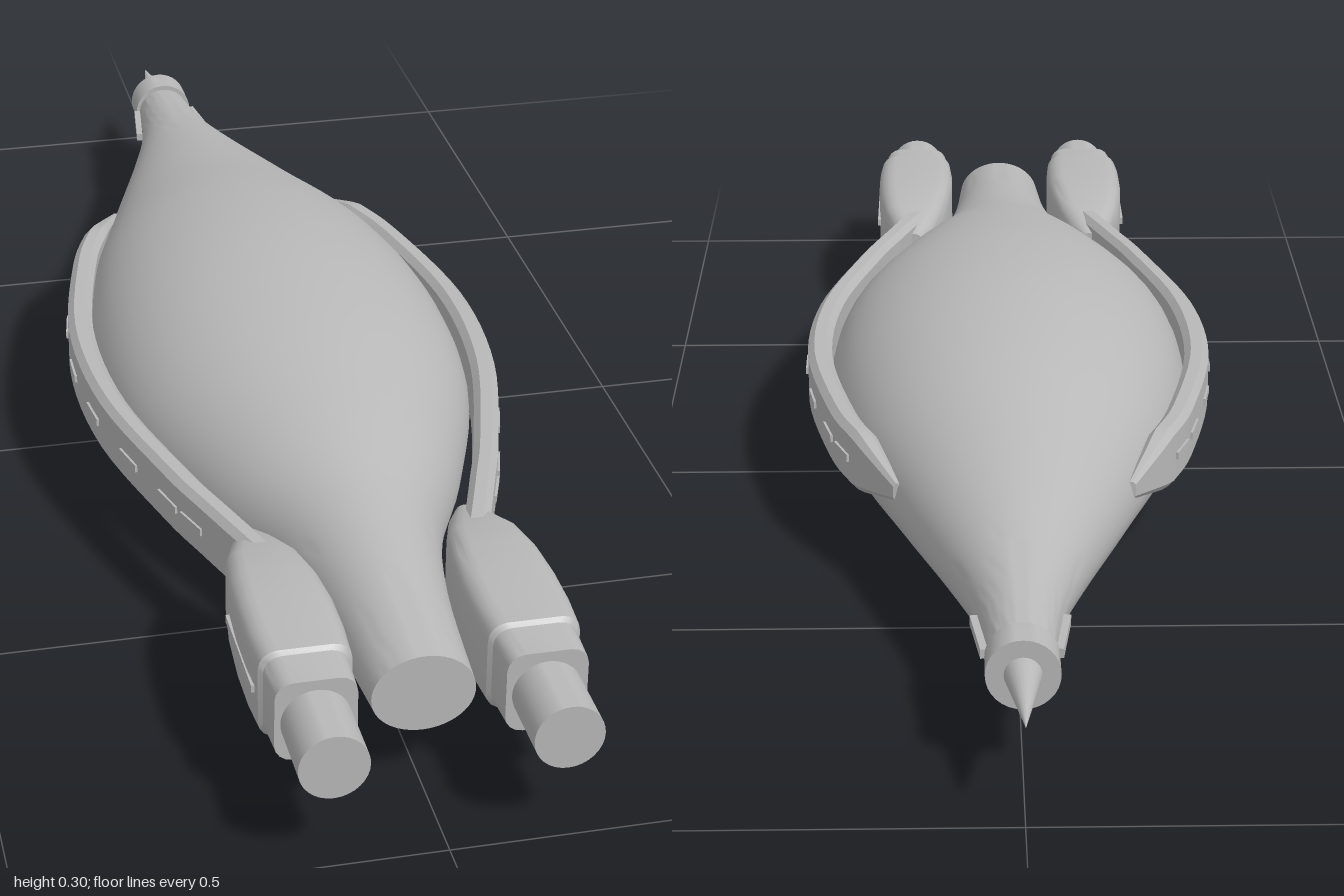
import * as THREE from 'three';
import { toCreasedNormals } from 'three/addons/utils/BufferGeometryUtils.js';

// Skin a closed, capped body through rings ordered from low z to high z
function loft(rings, crease) {
  const n = rings[0].length, pos = [], idx = [];
  rings.forEach(r => r.forEach(p => pos.push(p.x, p.y, p.z)));
  for (let i = 0; i < rings.length - 1; i++) {
    for (let j = 0; j < n; j++) {
      const a = i * n + j, b = i * n + (j + 1) % n;
      idx.push(a, b, a + n, b, b + n, a + n);
    }
  }
  [0, rings.length - 1].forEach((i, end) => {
    const c = new THREE.Vector3();
    rings[i].forEach(p => c.addScaledVector(p, 1 / n));
    const k = pos.push(c.x, c.y, c.z) / 3 - 1;
    for (let j = 0; j < n; j++) {
      const a = i * n + j, b = i * n + (j + 1) % n;
      if (end) idx.push(k, a, b); else idx.push(k, b, a);
    }
  });
  const g = new THREE.BufferGeometry();
  g.setAttribute('position', new THREE.Float32BufferAttribute(pos, 3));
  g.setIndex(idx);
  return toCreasedNormals(g, crease);
}

// Rectangle with cut corners
function chamferRing(cx, cy, z, hx, hy, c) {
  return [[hx, -hy + c], [hx, hy - c], [hx - c, hy], [-hx + c, hy],
    [-hx, hy - c], [-hx, -hy + c], [-hx + c, -hy], [hx - c, -hy]]
    .map(([x, y]) => new THREE.Vector3(cx + x, cy + y, z));
}

// Rectangle with rounded corners
function roundRing(cx, cy, z, hx, hy, r) {
  const pts = [];
  for (let q = 0; q < 4; q++) {
    const sx = q === 0 || q === 3 ? 1 : -1, sy = q < 2 ? 1 : -1;
    for (let k = 0; k <= 4; k++) {
      const a = (q + k / 4) * Math.PI / 2;
      pts.push(new THREE.Vector3(cx + sx * (hx - r) + r * Math.cos(a), cy + sy * (hy - r) + r * Math.sin(a), z));
    }
  }
  return pts;
}

export function createModel() {
  const model = new THREE.Group();
  model.name = 'spaceship';
  const hullGrey = new THREE.MeshStandardMaterial({ color: 0xb8b8b8 });
  hullGrey.name = 'hullGrey';
  const add = (name, geo, x = 0, y = 0, z = 0) => {
    const m = new THREE.Mesh(geo, hullGrey);
    m.name = name;
    m.position.set(x, y, z);
    model.add(m);
    return m;
  };

  // Main hull: z, half width, top, bottom, height of widest line
  const stations = [
    [-0.85, 0.036, 0.16, 0.09, 0.126], [-0.72, 0.053, 0.176, 0.072, 0.125],
    [-0.6, 0.087, 0.197, 0.055, 0.123], [-0.4, 0.155, 0.238, 0.03, 0.121],
    [-0.2, 0.22, 0.281, 0.01, 0.12], [0, 0.249, 0.3, 0.001, 0.12],
    [0.2, 0.238, 0.289, 0.005, 0.12], [0.4, 0.173, 0.256, 0.021, 0.122],
    [0.55, 0.108, 0.224, 0.042, 0.125], [0.7, 0.077, 0.202, 0.062, 0.127],
    [0.87, 0.063, 0.181, 0.078, 0.128],
  ];
  const curves = [1, 2, 3, 4].map(c => new THREE.SplineCurve(stations.map(s => new THREE.Vector2(s[0], s[c]))));
  const hullRings = [];
  for (let i = 0; i <= 50; i++) {
    const [w, top, bottom, mid] = curves.map(c => c.getPoint(i / 50).y);
    const z = curves[0].getPoint(i / 50).x;
    const ring = [];
    for (let j = 0; j < 48; j++) {
      const a = j / 48 * Math.PI * 2, s = Math.sin(a);
      ring.push(new THREE.Vector3(w * Math.cos(a), mid + s * (s > 0 ? top - mid : mid - bottom), z));
    }
    hullRings.push(ring);
  }
  add('hull', loft(hullRings, 0.7));

  // Rear collar and spike
  add('collar', toCreasedNormals(new THREE.CylinderGeometry(0.044, 0.044, 0.047, 32).rotateX(Math.PI / 2), 0.7), 0, 0.126, -0.85);
  add('spike', new THREE.ConeGeometry(0.023, 0.13, 24).rotateX(-Math.PI / 2), 0, 0.126, -0.935);

  // Centre line of the side bands
  const path = new THREE.SplineCurve([[-0.4, 0.15], [-0.3, 0.194], [-0.2, 0.228], [0, 0.264], [0.2, 0.255],
    [0.4, 0.205], [0.5, 0.172], [0.62, 0.13]].map(p => new THREE.Vector2(...p)));

  for (const s of [1, -1]) {
    const side = s > 0 ? 'left' : 'right';

    // Curved side band, pointed at its rear end
    const bandRings = [];
    for (let i = 0; i <= 40; i++) {
      const p = path.getPoint(i / 40);
      const grow = Math.min(1, (p.x + 0.4) / 0.1);
      bandRings.push(chamferRing(s * p.y, 0.145, p.x, 0.006 + 0.011 * grow, 0.012 + 0.03 * grow, 0.004 + 0.005 * grow));
    }
    add(side + 'Band', loft(bandRings, 0.4));

    // Row of thin slots along the band
    for (let i = 0; i < 8; i++) {
      const t = 0.2 + i * 0.088;
      const p = path.getPoint(t), d = path.getTangent(t);
      const slot = add(side + 'BandSlot', new THREE.BoxGeometry(0.008, 0.01, 0.05), s * (p.y + 0.016), 0.145, p.x);
      slot.rotation.y = Math.atan2(s * d.y, d.x);
    }

    // Engine pod: z, centre x, half width, half height, corner radius
    const podRings = [
      [0.54, 0.138, 0.012, 0.03, 0.01], [0.57, 0.139, 0.03, 0.04, 0.02],
      [0.62, 0.139, 0.046, 0.052, 0.022], [0.68, 0.138, 0.055, 0.06, 0.024],
      [0.74, 0.137, 0.059, 0.062, 0.024], [0.8, 0.137, 0.059, 0.062, 0.024],
      [0.85, 0.137, 0.056, 0.06, 0.023], [0.855, 0.137, 0.051, 0.055, 0.022],
      [0.908, 0.137, 0.049, 0.053, 0.022],
    ].map(([z, x, hx, hy, r]) => roundRing(s * x, 0.14, z, hx, hy, r));
    add(side + 'EnginePod', loft(podRings, 0.5));
    add(side + 'PodSlot', new THREE.BoxGeometry(0.008, 0.01, 0.15), s * 0.194, 0.14, 0.76);
    add(side + 'Nozzle', toCreasedNormals(new THREE.CylinderGeometry(0.042, 0.042, 0.12, 32).rotateX(Math.PI / 2), 0.7), s * 0.137, 0.138, 0.94);

    // Small fin plate beside the tail
    const fin = add(side + 'TailPlate', new THREE.BoxGeometry(0.009, 0.012, 0.09), s * 0.05, 0.126, -0.775);
    fin.rotation.y = s * 0.13;
  }
  return model;
}
